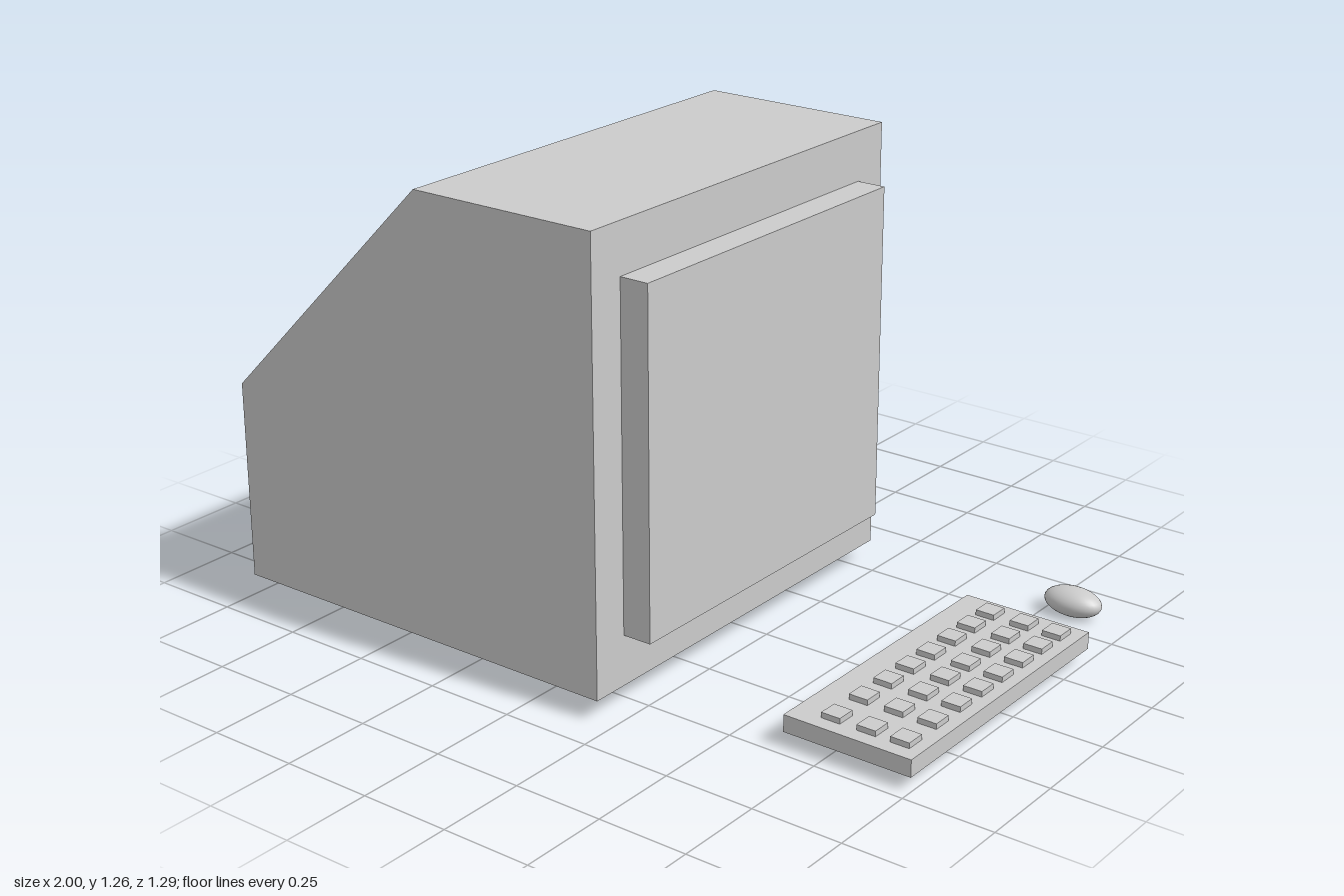
import * as THREE from 'three';

export function createModel() {
  const model = new THREE.Group();
  const material = new THREE.MeshStandardMaterial({ color: 0xcccccc });

  const add = (parent, name, geometry, x = 0, y = 0, z = 0) => {
    const mesh = new THREE.Mesh(geometry, material);
    mesh.name = name;
    mesh.position.set(x, y, z);
    parent.add(mesh);
    return mesh;
  };

  // Box given by its minimum and maximum corners
  const addBox = (parent, name, [x0, y0, z0], [x1, y1, z1]) =>
    add(parent, name, new THREE.BoxGeometry(x1 - x0, y1 - y0, z1 - z0),
      (x0 + x1) / 2, (y0 + y1) / 2, (z0 + z1) / 2);

  // Monitor: side profile with a sloped back, extruded across its width
  const monitor = new THREE.Group();
  monitor.name = 'monitor';
  model.add(monitor);
  const profile = new THREE.Shape([
    [-1, 0.057], [0.203, 0.057], [0.203, 1.262], [-0.35, 1.262], [-1, 0.612],
  ].map(([x, y]) => new THREE.Vector2(x, y)));
  add(monitor, 'monitorCase',
    new THREE.ExtrudeGeometry(profile, { depth: 1.204, bevelEnabled: false }), 0, 0, -0.56);
  addBox(monitor, 'screen', [0.203, 0.195, -0.454], [0.285, 1.125, 0.538]);

  // Keyboard: slab with three rows of eight keys
  const keyboard = new THREE.Group();
  keyboard.name = 'keyboard';
  model.add(keyboard);
  addBox(keyboard, 'keyboardBase', [0.632, 0.036, -0.376], [0.997, 0.083, 0.461]);
  const keyGeometry = new THREE.BoxGeometry(0.054, 0.03, 0.054);
  for (const x of [0.74, 0.842, 0.937]) {
    for (const z of [-0.313, -0.22, -0.126, -0.028, 0.068, 0.167, 0.274, 0.392]) {
      add(keyboard, 'key', keyGeometry, x, 0.083, z);
    }
  }

  // Mouse: flattened smooth ball
  const mouse = add(model, 'mouse', new THREE.SphereGeometry(1, 32, 16), 0.83, 0.039, -0.594);
  mouse.scale.set(0.083, 0.039, 0.051);

  return model;
}
